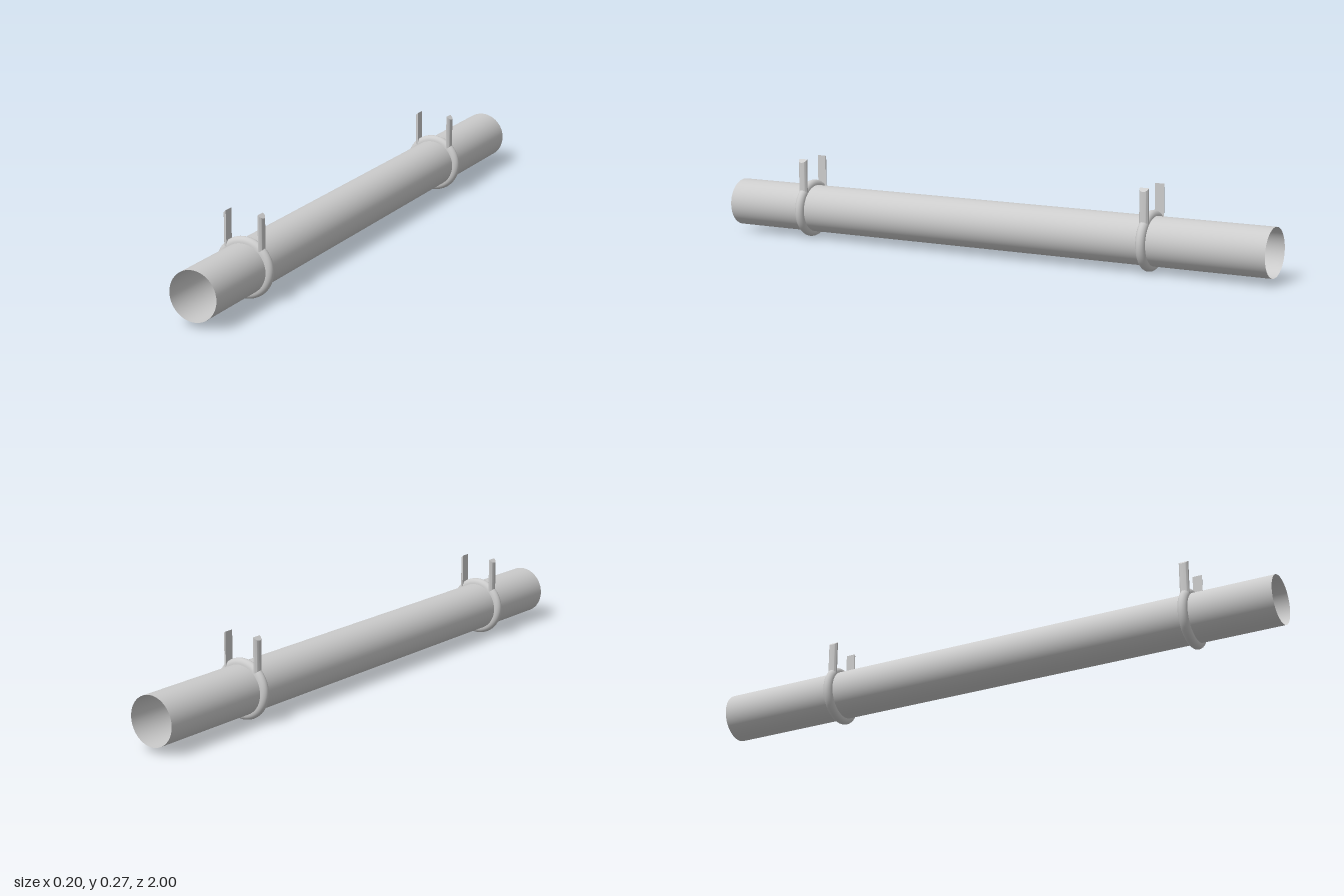
import * as THREE from 'three';
import { toCreasedNormals } from 'three/addons/utils/BufferGeometryUtils.js';

const AXIS_Y = 0.098;   // height of the pipe's axis
const PIPE_R = 0.08;
const CLAMP_R = 0.098;  // outer radius of the clamp rings
const HALF_W = 0.016;   // half width of clamp rings and prongs along z

const material = new THREE.MeshStandardMaterial({ color: 0xcccccc, side: THREE.DoubleSide });

function part(name, geometry) {
  const mesh = new THREE.Mesh(geometry, material);
  mesh.name = name;
  return mesh;
}

// Ring with a half-round outer section, lying around the z axis
function ringGeometry() {
  const points = [];
  for (let i = 0; i <= 12; i++) {
    const a = -Math.PI / 2 + (Math.PI * i) / 12;
    points.push(new THREE.Vector2(PIPE_R + (CLAMP_R - PIPE_R) * Math.cos(a), HALF_W * Math.sin(a)));
  }
  return new THREE.LatheGeometry(points, 64).rotateX(Math.PI / 2);
}

// Upright prong: flat inside, half-round outside, top cut at a slant
function prongGeometry() {
  const inner = 0.055, depth = 0.014, bottom = 0.16, top = 0.274;
  const section = new THREE.Shape();
  section.moveTo(0, -HALF_W);
  section.absellipse(0, 0, depth, HALF_W, -Math.PI / 2, Math.PI / 2, false);
  section.closePath();
  const geometry = new THREE.ExtrudeGeometry(section, {
    depth: top - bottom, bevelEnabled: false, curveSegments: 12,
  });
  geometry.rotateX(-Math.PI / 2).translate(inner, bottom, 0);
  const p = geometry.attributes.position;
  for (let i = 0; i < p.count; i++) {
    if (p.getY(i) > top - 0.001) p.setY(i, top - 0.8 * (p.getX(i) - inner));
  }
  return toCreasedNormals(geometry, 0.6);
}

export function createModel() {
  const model = new THREE.Group();
  model.name = 'pipeWithClamps';

  // Open-ended thin pipe
  const pipe = part('pipe', new THREE.CylinderGeometry(PIPE_R, PIPE_R, 2, 64, 1, true).rotateX(Math.PI / 2));
  pipe.position.y = AXIS_Y;
  model.add(pipe);

  // Two clamps, each a ring with a pair of prongs
  const ringGeo = ringGeometry();
  const prongGeo = prongGeometry();
  for (const [name, z] of [['frontClamp', 0.707], ['backClamp', -0.584]]) {
    const clamp = new THREE.Group();
    clamp.name = name;
    clamp.position.z = z;
    const ring = part('clampRing', ringGeo);
    ring.position.y = AXIS_Y;
    const leftProng = part('leftProng', prongGeo);
    const rightProng = part('rightProng', prongGeo);
    rightProng.rotation.y = Math.PI;
    clamp.add(ring, leftProng, rightProng);
    model.add(clamp);
  }
  return model;
}
